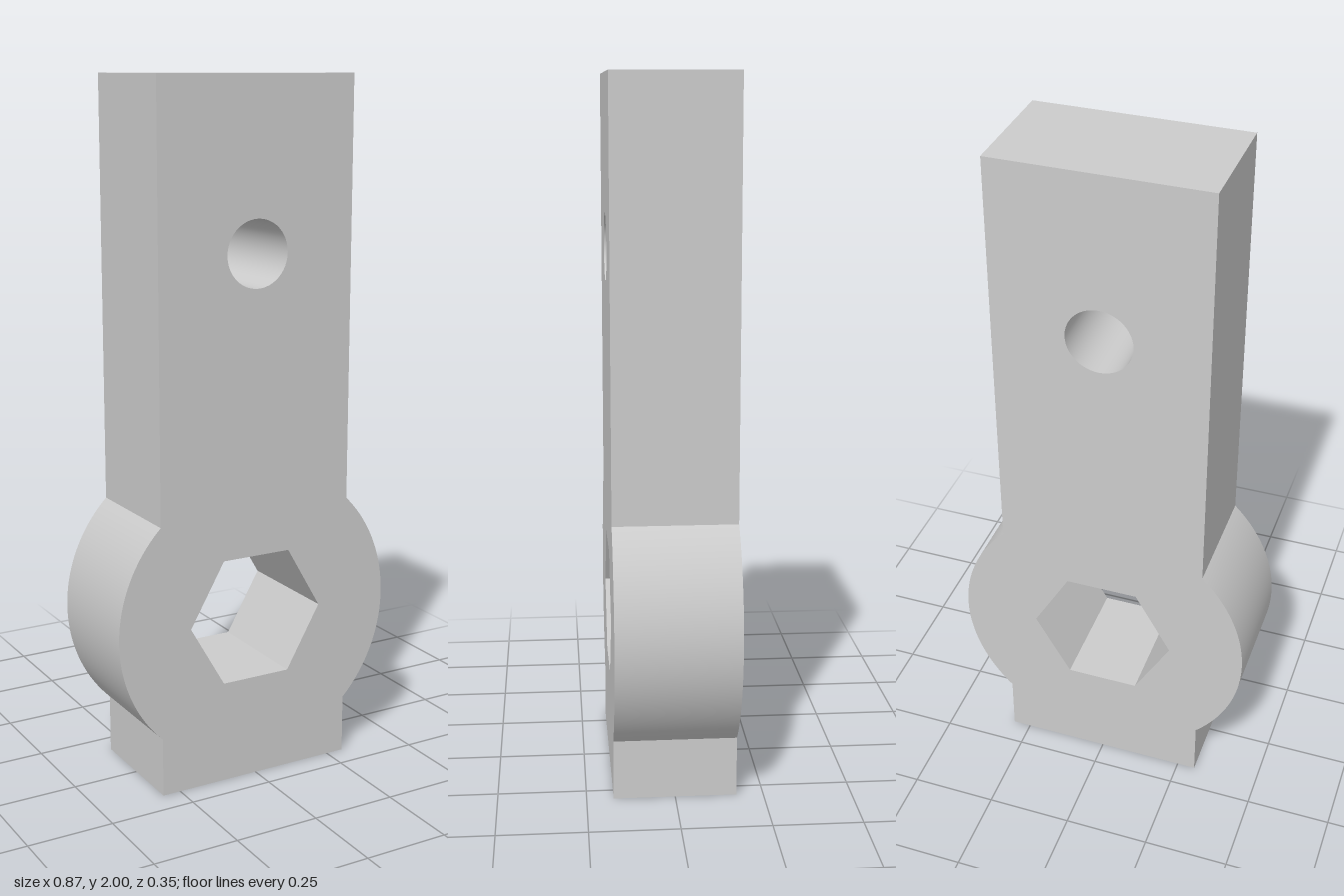
import * as THREE from 'three';
import { toCreasedNormals } from 'three/addons/utils/BufferGeometryUtils.js';

export function createModel() {
  const halfWidth = 0.304, height = 2, depth = 0.348;
  const bossY = 0.483, bossRadius = 0.435;
  const hexRadius = 0.212, holeY = 1.523, holeRadius = 0.095;

  // Outline: straight bar with a round boss bulging out of both sides
  const a = Math.acos(halfWidth / bossRadius);
  const outline = new THREE.Shape();
  outline.moveTo(-halfWidth, 0);
  outline.lineTo(halfWidth, 0);
  outline.absarc(0, bossY, bossRadius, -a, a, false);
  outline.lineTo(halfWidth, height);
  outline.lineTo(-halfWidth, height);
  outline.absarc(0, bossY, bossRadius, Math.PI - a, Math.PI + a, false);
  outline.closePath();

  // Hexagonal socket through the boss
  const hexPoints = [];
  for (let i = 0; i < 6; i++) {
    const t = (-i * Math.PI) / 3;
    hexPoints.push(new THREE.Vector2(hexRadius * Math.cos(t), bossY + hexRadius * Math.sin(t)));
  }
  outline.holes.push(new THREE.Path(hexPoints));

  // Round pin hole in the upper bar
  outline.holes.push(new THREE.Path().absarc(0, holeY, holeRadius, 0, Math.PI * 2, true));

  const geometry = new THREE.ExtrudeGeometry(outline, { depth, bevelEnabled: false, curveSegments: 24 });
  geometry.translate(0, 0, -depth / 2);

  const lever = new THREE.Mesh(
    toCreasedNormals(geometry, 0.4),
    new THREE.MeshStandardMaterial({ color: 0xcccccc })
  );
  lever.name = 'leverBody';

  const model = new THREE.Group();
  model.name = 'hexSocketLever';
  model.add(lever);
  return model;
}
